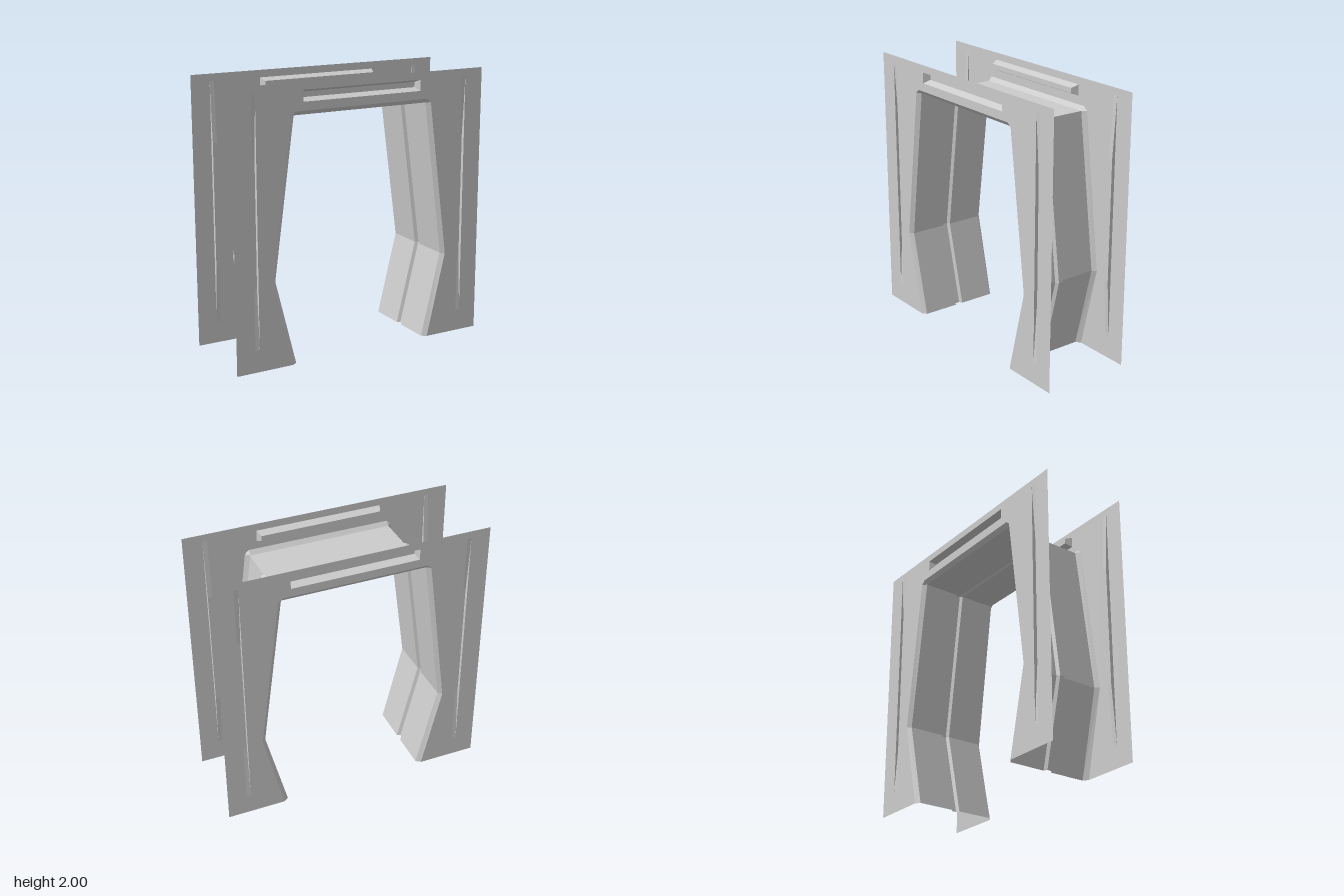
import * as THREE from 'three';

const FACE = 0.332, INNER = 0.306; // depth of the outer faces and of the tunnel lining

const material = () => new THREE.MeshStandardMaterial({ color: 0xcccccc, flatShading: true, side: THREE.DoubleSide });

function mesh(name, geometry) {
  const m = new THREE.Mesh(geometry, material());
  m.name = name;
  return m;
}

// Flat-shaded skin through rows of equally many points, without empty triangles
function skin(rows) {
  const pos = [];
  const tri = (a, b, c) => {
    const t = new THREE.Triangle(new THREE.Vector3(...a), new THREE.Vector3(...b), new THREE.Vector3(...c));
    if (t.getArea() > 1e-8) pos.push(...a, ...b, ...c);
  };
  for (let r = 0; r < rows.length - 1; r++) {
    for (let c = 0; c < rows[r].length - 1; c++) {
      const p = rows[r][c], q = rows[r][c + 1], s = rows[r + 1][c + 1], t = rows[r + 1][c];
      tri(p, q, s);
      tri(p, s, t);
    }
  }
  const g = new THREE.BufferGeometry();
  g.setAttribute('position', new THREE.Float32BufferAttribute(pos, 3));
  g.computeVertexNormals();
  return g;
}

// Arch outline: given on the +x side from the ground up, mirrored to -x
const arch = half => [...half, ...half.map(([x, y]) => [-x, y]).reverse()];
const mouth = arch([[0.565, 0], [0.713, 0.63], [0.56, 1.778], [0.53, 1.805]]);
const lining = arch([[0.53, 0], [0.685, 0.63], [0.53, 1.775], [0.53, 1.775]]);
const channel = arch([[0.555, 0], [0.71, 0.63], [0.553, 1.778], [0.53, 1.79]]);

const rect = (x0, x1, y0, y1) => [[x0, y0], [x1, y0], [x1, y1], [x0, y1], [x0, y0]];
const recessMouth = rect(-0.468, 0.468, 1.866, 1.946);
const recessFloor = rect(-0.45, 0.45, 1.888, 1.926);
const atDepth = (pts, z) => pts.map(([x, y]) => [x, y, z]);
const slotX = [0.825, 0.857], slotY = [0.16, 1.95], slotTaper = 0.44;

function createFacade() {
  const g = new THREE.Group();

  // Thin wall with the arch cut out of its foot, and openings for slots and recess
  const vec = pts => pts.map(([x, y]) => new THREE.Vector2(x, y));
  const shape = new THREE.Shape(vec([[-1, 0], ...mouth.slice().reverse(), [1, 0], [1, 2], [-1, 2]]));
  shape.holes.push(new THREE.Path(vec(recessMouth.slice(0, 4))));
  for (const s of [-1, 1]) {
    const xs = s > 0 ? slotX : [-slotX[1], -slotX[0]];
    shape.holes.push(new THREE.Path(vec(rect(...xs, ...slotY).slice(0, 4))));

    // Upright slot that runs out to the surface at both ends
    const rows = [
      [slotY[0], FACE], [slotY[0] + slotTaper, INNER],
      [slotY[1] - slotTaper, INNER], [slotY[1], FACE],
    ].map(([y, z]) => [[xs[0], y, FACE], [xs[0], y, z], [xs[1], y, z], [xs[1], y, FACE]]);
    g.add(mesh(s > 0 ? 'leftSlot' : 'rightSlot', skin(rows)));
  }
  const wall = mesh('wall', new THREE.ShapeGeometry(shape));
  wall.position.z = FACE;
  g.add(wall);

  // Long recess over the opening, with sloped sides
  g.add(mesh('recessSides', skin([atDepth(recessMouth, FACE), atDepth(recessFloor, 0.28)])));
  const floor = mesh('recessFloor', new THREE.PlaneGeometry(0.9, 0.038));
  floor.position.set(0, 1.907, 0.28);
  g.add(floor);
  return g;
}

export function createModel() {
  const model = new THREE.Group();
  model.name = 'doorwayPassage';

  const front = createFacade();
  front.name = 'frontFacade';
  const back = createFacade();
  back.name = 'backFacade';
  back.rotation.y = Math.PI;
  model.add(front, back);

  // Bevelled mouths and lining with a shallow channel around the middle
  const sections = [[mouth, FACE], [lining, INNER], [lining, 0.031], [channel, 0.018]];
  const mirrored = sections.map(([p, z]) => [p, -z]).reverse();
  model.add(mesh('tunnelLining', skin([...sections, ...mirrored].map(([p, z]) => atDepth(p, z)))));

  return model;
}
